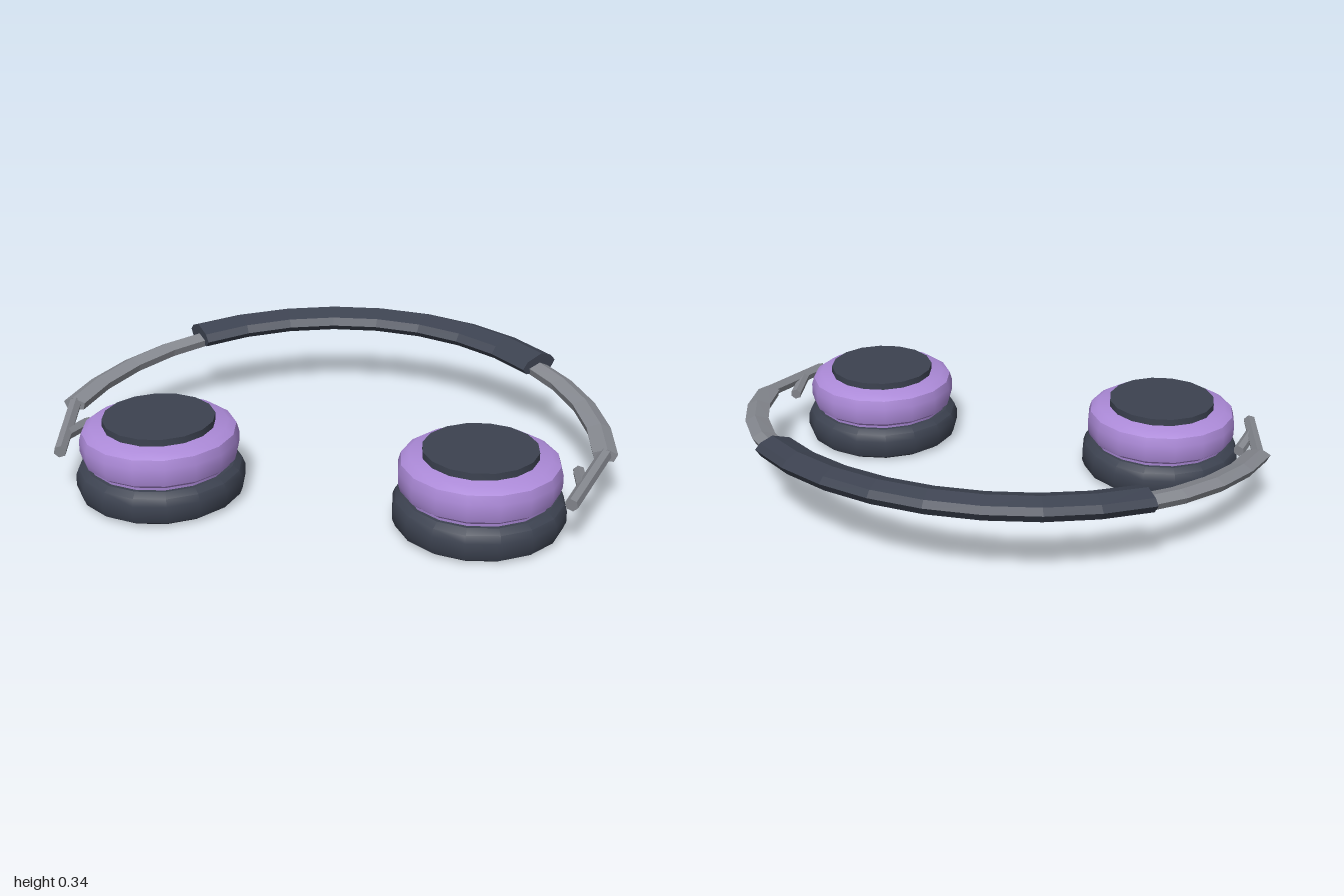
import * as THREE from 'three';
import { toCreasedNormals } from 'three/addons/utils/BufferGeometryUtils.js';

const V = (x, y, z) => new THREE.Vector3(x, y, z);

// Flat-shaded sweep of a closed section [outward, up] round the tilted headband arc
function arcSweep(section, maxAngle, steps) {
  const R = 0.965, n = section.length, rings = [];
  for (let i = 0; i <= steps; i++) {
    const a = maxAngle * (2 * i / steps - 1);
    const y = 0.222 - 0.095 * (0.33 - R * Math.cos(a));
    rings.push(section.map(([u, v]) =>
      V(Math.sin(a) * (R + u), y + v, 0.33 - Math.cos(a) * (R + u))));
  }
  const pts = [];
  for (let i = 0; i < steps; i++) {
    for (let j = 0; j < n; j++) {
      const k = (j + 1) % n, p = rings[i], q = rings[i + 1];
      pts.push(p[j], p[k], q[j], p[k], q[k], q[j]);
    }
  }
  const first = rings[0], last = rings[steps];
  for (let j = 1; j < n - 1; j++) {
    pts.push(first[0], first[j + 1], first[j], last[0], last[j], last[j + 1]);
  }
  const geo = new THREE.BufferGeometry().setFromPoints(pts);
  geo.computeVertexNormals();
  return geo;
}

// Six-sided rod between two points
function rod(a, b, radius) {
  const dir = b.clone().sub(a);
  const geo = new THREE.CylinderGeometry(radius, radius, dir.length(), 6).toNonIndexed();
  geo.computeVertexNormals();
  geo.applyQuaternion(new THREE.Quaternion().setFromUnitVectors(V(0, 1, 0), dir.normalize()));
  const mid = a.clone().add(b).multiplyScalar(0.5);
  return geo.translate(mid.x, mid.y, mid.z);
}

// Sixteen-sided turned part, smooth round the rim with sharp bands
function turned(profile) {
  const pts = profile.map(([r, y]) => new THREE.Vector2(r, y));
  return toCreasedNormals(new THREE.LatheGeometry(pts, 16), 0.6);
}

export function createModel() {
  const model = new THREE.Group();
  model.name = 'headphones';
  const material = (name, color) => {
    const m = new THREE.MeshStandardMaterial({ color });
    m.name = name;
    return m;
  };
  const dark = material('darkSlate', 0x3c4250);
  const purple = material('lilac', 0xac8ad8);
  const grey = material('metalGrey', 0x85888f);
  const add = (parent, name, geo, mat) => {
    const mesh = new THREE.Mesh(geo, mat);
    mesh.name = name;
    parent.add(mesh);
  };

  // Headband with its padded crown
  const deg = Math.PI / 180;
  add(model, 'headband', arcSweep(
    [[0.043, 0.004], [0.006, 0.022], [-0.043, 0.008], [-0.036, -0.019], [0.03, -0.023]],
    83 * deg, 16), grey);
  add(model, 'headbandPad', arcSweep(
    [[0.077, 0.018], [0.057, 0.04], [0.01, 0.058], [-0.055, 0.036],
      [-0.076, 0.01], [-0.058, -0.012], [0.055, -0.014]],
    43.5 * deg, 8), dark);

  // Ear cups, each with a forked arm
  const cushion = turned([[0, 0], [0.262, 0], [0.285, 0.015], [0.295, 0.04],
    [0.295, 0.08], [0.285, 0.105], [0.262, 0.121], [0, 0.121]]);
  const shell = turned([[0, 0.11], [0.248, 0.11], [0.25, 0.13], [0.27, 0.145], [0.277, 0.17],
    [0.277, 0.21], [0.268, 0.24], [0.24, 0.258], [0, 0.26]]);
  const cap = turned([[0, 0.25], [0.196, 0.25], [0.196, 0.283], [0, 0.283]]);

  for (const [side, s] of [['left', 1], ['right', -1]]) {
    const cup = new THREE.Group();
    cup.name = side + 'EarCup';
    cup.position.set(0.56 * s, 0, 0.415);
    add(cup, 'cushion', cushion, dark);
    add(cup, 'shell', shell, purple);
    add(cup, 'cap', cap, dark);
    model.add(cup);

    const arm = new THREE.Group();
    arm.name = side + 'Arm';
    add(arm, 'armRod', rod(V(0.957 * s, 0.202, 0.205), V(0.877 * s, 0.174, 0.548), 0.023), grey);
    add(arm, 'armProng', rod(V(0.902 * s, 0.182, 0.43), V(0.877 * s, 0.168, 0.285), 0.021), grey);
    model.add(arm);
  }
  return model;
}
